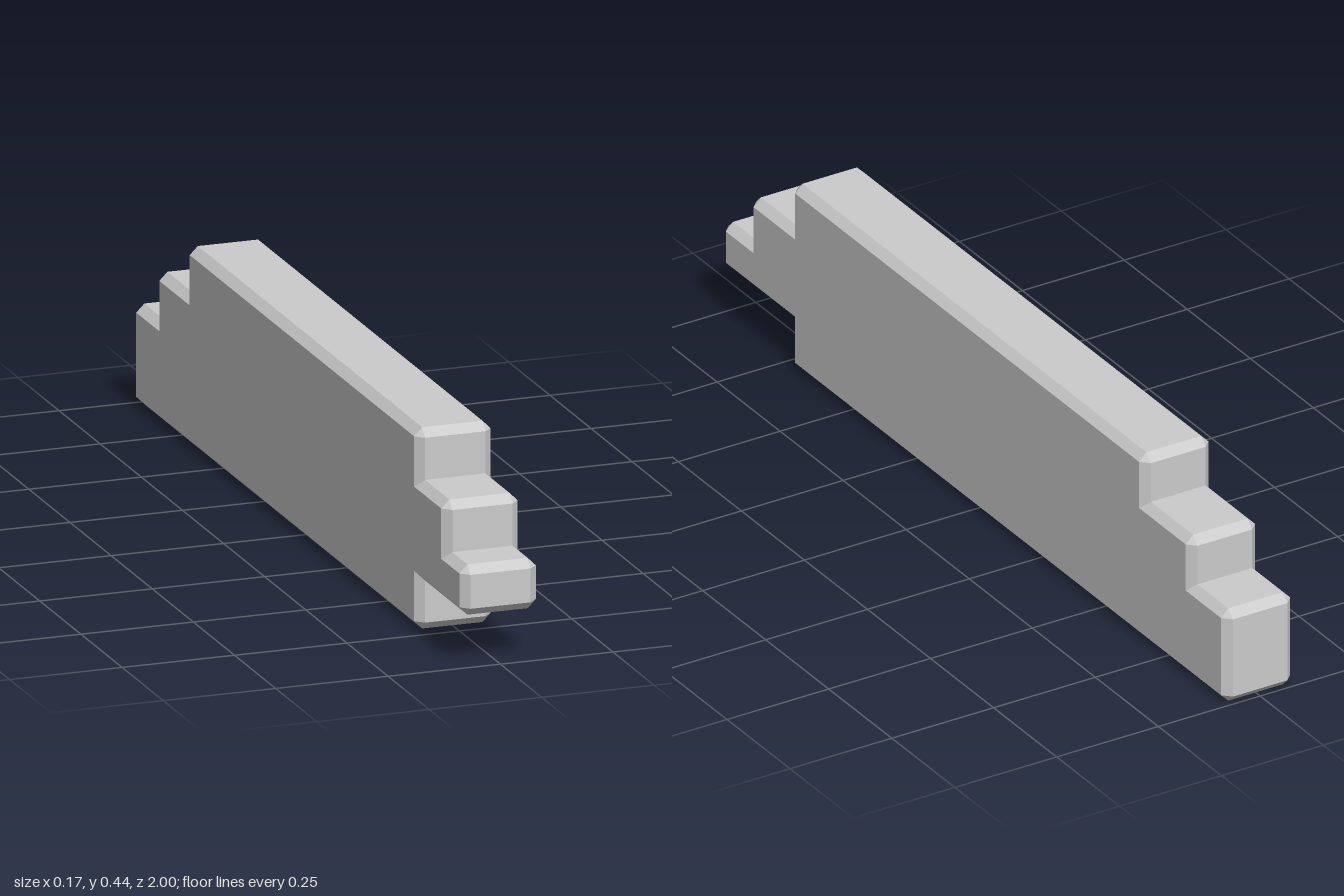
import * as THREE from 'three';

// Solid with every convex edge chamfered by c, from a right-angled
// counter-clockwise profile of [z, y] points and a half width along x.
function chamferedSlab(profile, half, c) {
  const n = profile.length;
  const pts = profile.map(([z, y]) => new THREE.Vector2(z, y));
  // inward unit normal of each edge
  const inward = pts.map((p, i) => {
    const d = pts[(i + 1) % n].clone().sub(p).normalize();
    return new THREE.Vector2(-d.y, d.x);
  });
  // per corner: inset point q, and rim points a, b (equal on inner corners)
  const corners = pts.map((p, i) => {
    const prev = inward[(i + n - 1) % n], next = inward[i];
    const convex = prev.cross(next) > 0;
    return {
      convex,
      q: p.clone().addScaledVector(prev, c).addScaledVector(next, c),
      a: convex ? p.clone().addScaledVector(next, c) : p,
      b: convex ? p.clone().addScaledVector(prev, c) : p,
    };
  });

  const positions = [];
  const tri = (...vs) => vs.forEach((v) => positions.push(...v));
  const quad = (p, q, r, s) => { tri(p, q, r); tri(p, r, s); };
  const at = (p, x) => [x, p.y, p.x];
  const rim = half - c;

  // rim faces across the width
  const band = (p, q) => quad(at(q, -rim), at(p, -rim), at(p, rim), at(q, rim));
  corners.forEach((k, i) => {
    band(k.b, corners[(i + 1) % n].a);
    if (k.convex) band(k.a, k.b);
  });

  // flat sides with their chamfer strips and corner triangles
  const faces = THREE.ShapeUtils.triangulateShape(corners.map((k) => k.q), []);
  for (const side of [-1, 1]) {
    const face = (...vs) => {
      if (side > 0) vs.reverse();
      if (vs.length === 3) tri(...vs); else quad(...vs);
    };
    const outer = side * half, edge = side * rim;
    faces.forEach((f) => face(...f.map((j) => at(corners[j].q, outer))));
    corners.forEach((k, i) => {
      const m = corners[(i + 1) % n];
      face(at(k.b, edge), at(m.a, edge), at(m.q, outer), at(k.q, outer));
      if (k.convex) face(at(k.a, edge), at(k.b, edge), at(k.q, outer));
    });
  }

  const geometry = new THREE.BufferGeometry();
  geometry.setAttribute('position', new THREE.Float32BufferAttribute(positions, 3));
  geometry.computeVertexNormals();
  return geometry;
}

export function createModel() {
  const group = new THREE.Group();
  group.name = 'steppedBar';

  // Stepped outline: undercut nose at the front, stairs at both ends
  const profile = [
    [-1, 0], [0.725, 0], [0.725, 0.11], [1, 0.11], [1, 0.22],
    [0.89, 0.22], [0.89, 0.33], [0.725, 0.33], [0.725, 0.44],
    [-0.675, 0.44], [-0.675, 0.33], [-0.86, 0.33], [-0.86, 0.22], [-1, 0.22],
  ];
  const body = new THREE.Mesh(
    chamferedSlab(profile, 0.085, 0.018),
    new THREE.MeshStandardMaterial({ color: 0xcccccc, flatShading: true }),
  );
  body.name = 'steppedBody';
  group.add(body);
  return group;
}
